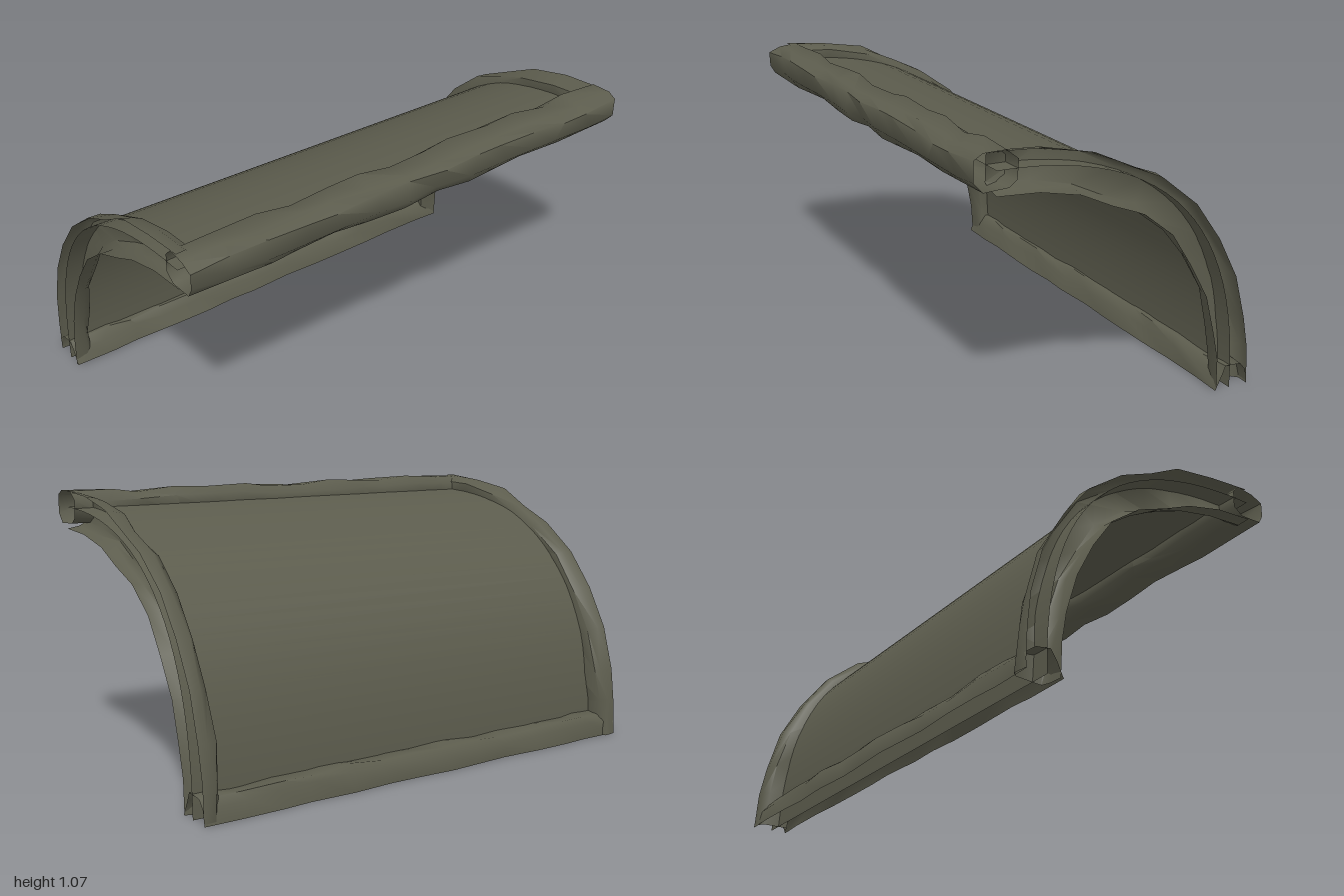
import * as THREE from 'three';
import { toCreasedNormals } from 'three/addons/utils/BufferGeometryUtils.js';

// Repeatable small noise in [-1, 1]
function makeNoise(seed) {
  let s = seed;
  return () => {
    s = (s * 16807) % 2147483647;
    return (s / 2147483647) * 2 - 1;
  };
}

// Skin a grid of rows (cross-sections) of [x, y, z] points
function skin(rows, { closed = false, flip = false } = {}) {
  const n = rows[0].length;
  const index = [];
  for (let i = 0; i < rows.length - 1; i++) {
    for (let j = 0; j < (closed ? n : n - 1); j++) {
      const k = (j + 1) % n;
      const a = i * n + j, b = (i + 1) * n + j, c = (i + 1) * n + k, d = i * n + k;
      if (flip) index.push(a, c, b, a, d, c);
      else index.push(a, b, c, a, c, d);
    }
  }
  const g = new THREE.BufferGeometry();
  g.setAttribute('position', new THREE.Float32BufferAttribute(rows.flat(2), 3));
  g.setIndex(index);
  return toCreasedNormals(g, 1.1);
}

export function createModel() {
  const group = new THREE.Group();
  const olive = new THREE.MeshStandardMaterial({ color: 0x5c5c4d, side: THREE.DoubleSide });
  olive.name = 'drab olive';
  const add = (name, geometry) => {
    const mesh = new THREE.Mesh(geometry, olive);
    mesh.name = name;
    group.add(mesh);
  };

  // Curved sheet: (z, y) curve from the ground edge up to the front edge
  const bend = new THREE.QuadraticBezierCurve(
    new THREE.Vector2(-0.5, 0), new THREE.Vector2(-0.5, 1), new THREE.Vector2(0.5, 1));
  const sheet = [-1, 1].map((x) => bend.getPoints(24).map((p) => [x, p.y, p.x]));
  add('curvedPanel', skin(sheet, { flip: true }));

  // Lumpy bar along x from a [z, y] profile; points on the ground stay there
  const barRows = (profile, seed, amount) => {
    const rnd = makeNoise(seed);
    const steps = 13;
    return Array.from({ length: steps + 1 }, (_, i) => {
      const inner = i > 0 && i < steps;
      const x = -1 + (2 * i) / steps;
      const swell = rnd() * amount * 0.5;
      return profile.map(([z, y]) => [
        x + (inner ? rnd() * 0.03 : 0),
        y === 0 ? 0 : y + swell + rnd() * amount * 0.6,
        z + rnd() * amount * 0.7,
      ]);
    });
  };

  // Hollow rolled edge around the front rim
  const frontProfile = [
    [0.425, 0.96], [0.425, 1.03], [0.46, 1.063], [0.54, 1.06],
    [0.58, 1.035], [0.578, 0.965], [0.555, 0.932], [0.46, 0.935],
  ];
  add('frontRim', skin(barRows(frontProfile, 4711, 0.013), { closed: true, flip: true }));

  // Channel along the ground edge, open below
  const lowerProfile = [
    [-0.58, 0], [-0.575, 0.065], [-0.55, 0.09], [-0.48, 0.092], [-0.455, 0.06], [-0.438, 0],
  ];
  add('lowerRim', skin(barRows(lowerProfile, 977, 0.012), { flip: true }));

  // Channels along the curved side edges, open outwards
  // Midline (z, y) from the ground to the front
  const midline = [
    [-0.515, 0], [-0.505, 0.14], [-0.482, 0.26], [-0.433, 0.425], [-0.35, 0.575],
    [-0.25, 0.715], [-0.11, 0.82], [0.03, 0.88], [0.16, 0.94], [0.33, 0.975], [0.5, 0.99],
  ].map(([z, y]) => new THREE.Vector2(z, y));
  // Cross-section: [offset across the bend, inset from the side]
  const sideProfile = [
    [0.073, 0], [0.071, 0.045], [0.052, 0.077], [-0.05, 0.08], [-0.068, 0.05], [-0.07, 0],
  ];
  for (const side of [1, -1]) {
    const rnd = makeNoise(side > 0 ? 321 : 8642);
    const last = midline.length - 1;
    const rows = midline.map((p, i) => {
      const tangent = midline[Math.min(i + 1, last)].clone()
        .sub(midline[Math.max(i - 1, 0)]).normalize();
      // Both ends are cut square: level at the ground, upright at the front
      if (i === 0) tangent.set(0, 1);
      if (i === last) tangent.set(1, 0);
      return sideProfile.map(([across, inset]) => {
        const d = across + rnd() * 0.006;
        const x = side * (1 - (inset ? inset + rnd() * 0.01 : 0));
        return [x, p.y + tangent.x * d, p.x - tangent.y * d];
      });
    });
    add(side > 0 ? 'leftRim' : 'rightRim', skin(rows, { flip: side > 0 }));
  }
  return group;
}
